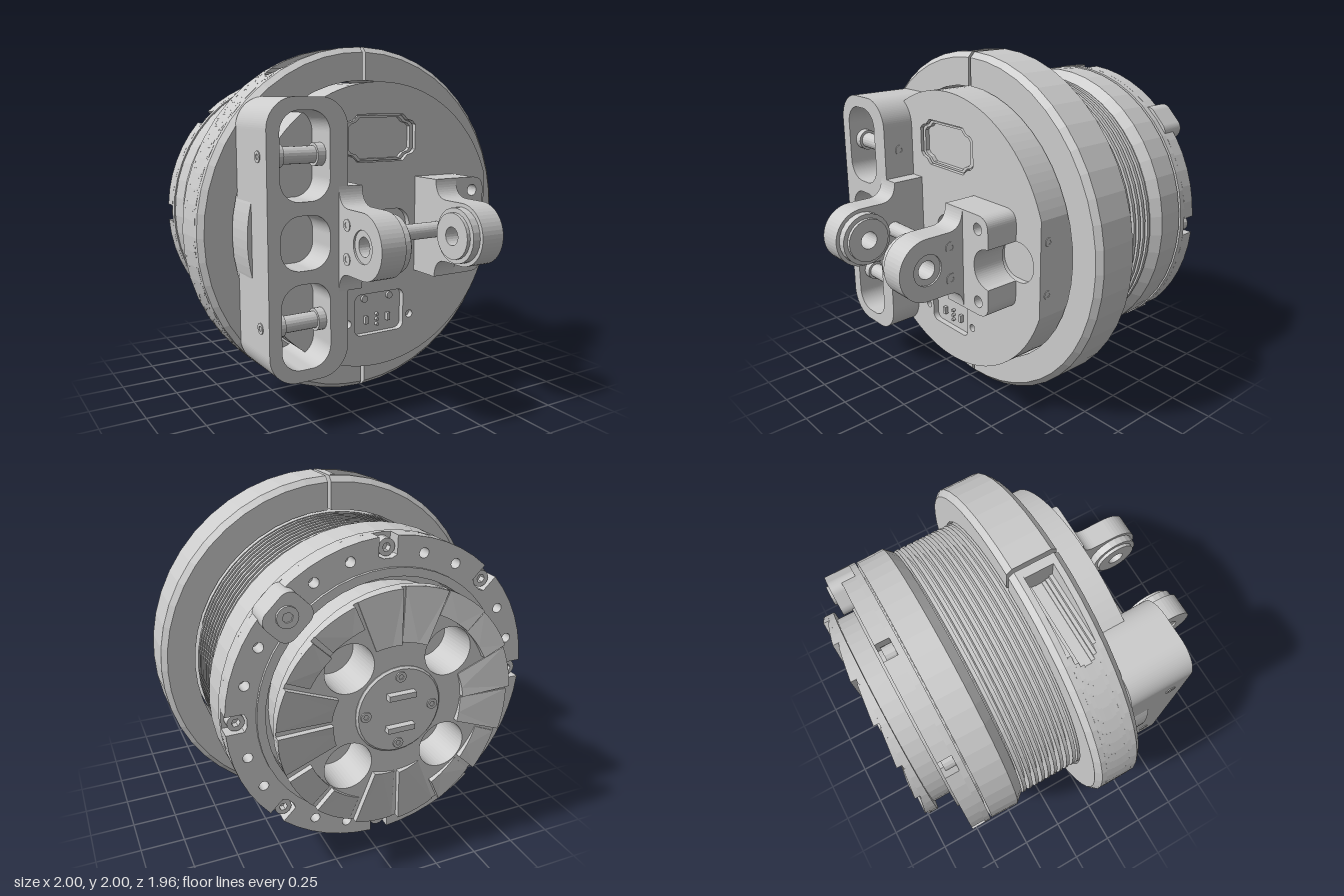
import * as THREE from 'three';

const mat = new THREE.MeshStandardMaterial({ color: 0xcccccc, flatShading: true });
const PI = Math.PI;
const V = (x, y) => new THREE.Vector2(x, y);

// --- helpers -------------------------------------------------------------
function add(parent, name, geometry) {
  const m = new THREE.Mesh(geometry, mat);
  m.name = name;
  parent.add(m);
  return m;
}
// Extrude a shape from z0 to z1
function slab(shape, z0, z1, steps = 1, curveSegments = 12) {
  const g = new THREE.ExtrudeGeometry(shape, { depth: z1 - z0, steps, curveSegments, bevelEnabled: false });
  return g.translate(0, 0, z0);
}
// Turned part around z; profile is [radius, z] with rising z
function turned(profile, seg = 48) {
  return new THREE.LatheGeometry(profile.map(p => V(p[0], p[1])), seg).rotateX(PI / 2);
}
function circle(x, y, r, T = THREE.Shape) {
  const s = new T();
  s.absarc(x, y, r, 0, PI * 2, false);
  return s;
}
function roundRect(x0, x1, y0, y1, r, T = THREE.Shape) {
  const s = new T();
  s.absarc(x1 - r, y1 - r, r, 0, PI / 2, false);
  s.absarc(x0 + r, y1 - r, r, PI / 2, PI, false);
  s.absarc(x0 + r, y0 + r, r, PI, PI * 1.5, false);
  s.absarc(x1 - r, y0 + r, r, PI * 1.5, PI * 2, false);
  s.closePath();
  return s;
}
// Socket screw head pointing along +z
function screw(parent, r, h) {
  const g = new THREE.Group();
  g.name = 'screw';
  const s = circle(0, 0, r);
  const hex = Array.from({ length: 6 }, (_, i) => V(Math.cos(i * PI / 3) * r * 0.5, Math.sin(i * PI / 3) * r * 0.5));
  s.holes.push(new THREE.Path(hex));
  add(g, 'screwHead', slab(s, 0, h, 1, 8));
  add(g, 'screwSocketFloor', slab(circle(0, 0, r * 0.9), 0, h * 0.4, 1, 8));
  parent.add(g);
  return g;
}

// --- split clamp ring ----------------------------------------------------
function halfRing(side, floor) {
  const g = 0.01, R = 1, r = 0.815, pts = [];
  let a = Math.acos(g);
  if (floor) {
    pts.push(V(g, -R), V(0.06, -0.998), V(0.06, -floor));
    a = Math.asin(floor);
  }
  for (let i = 0; i <= 24; i++) {
    const t = -a + 2 * a * i / 24;
    pts.push(V(Math.cos(t) * R, Math.sin(t) * R));
  }
  if (floor) pts.push(V(0.06, floor), V(0.06, 0.998), V(g, R));
  const b = Math.acos(g / r);
  for (let i = 0; i <= 24; i++) {
    const t = b - 2 * b * i / 24;
    pts.push(V(Math.cos(t) * r, Math.sin(t) * r));
  }
  return new THREE.Shape(pts.map(p => V(p.x * side, p.y)));
}
function chamferRim(geo, zEnd) {
  const p = geo.attributes.position;
  for (let i = 0; i < p.count; i++) {
    const x = p.getX(i), y = p.getY(i);
    if (Math.hypot(x, y) > 0.95 && Math.abs(p.getZ(i) - zEnd) < 1e-4) p.setXY(i, x * 0.97, y * 0.97);
  }
  geo.computeVertexNormals();
  return geo;
}
function buildClampRing(root) {
  for (const s of [1, -1]) {
    add(root, 'clampRingBack', chamferRim(slab(halfRing(s), -0.06, 0, 2), -0.06));
    add(root, 'clampRingFront', chamferRim(slab(halfRing(s), 0.16, 0.22, 2), 0.22));
  }
  add(root, 'clampRingMiddle', slab(halfRing(1), 0, 0.16));
  // round bolt pockets, cut in slices
  for (let i = 0; i < 8; i++) {
    const d = -0.07 + i * 0.02;
    add(root, 'clampRingPocketSlice', slab(halfRing(-1, 0.92 - Math.sqrt(0.0064 - d * d)), d + 0.07, d + 0.09));
  }
}

// --- front body with recesses --------------------------------------------
function badge(k, T = THREE.Shape) {
  const q = [[0.235, 0.07], [0.215, 0.09], [0.18, 0.1], [0.15, 0.13]], r = [...q].reverse();
  const pts = [...q, ...r.map(p => [-p[0], p[1]]), ...q.map(p => [-p[0], -p[1]]), ...r.map(p => [p[0], -p[1]])];
  return new T(pts.map(p => V(p[0] * k, p[1] * k + 0.5)));
}
function bodyShape() {
  const s = new THREE.Shape(), a = Math.acos(0.76 / 0.805);
  s.absarc(0, 0, 0.805, a, PI * 2 - a, false);
  s.closePath();
  return s;
}
function buildBody(root) {
  add(root, 'frontBody', slab(bodyShape(), -0.07, 0.36, 1, 48));
  const plate = bodyShape();
  plate.holes.push(badge(1, THREE.Path), roundRect(-0.165, 0.165, -0.615, -0.375, 0.04, THREE.Path),
    roundRect(-0.1, 0.2, -0.1, 0.1, 0.095, THREE.Path), roundRect(0.45, 0.71, -0.11, 0.11, 0.105, THREE.Path),
    circle(-0.21, -0.535, 0.022, THREE.Path), circle(0.21, -0.535, 0.022, THREE.Path));
  add(root, 'frontPlate', slab(plate, 0.36, 0.395, 1, 48));
  const rim = badge(0.95);
  rim.holes.push(badge(0.86, THREE.Path));
  add(root, 'badgeRim', slab(rim, 0.36, 0.385));
  add(root, 'slotPin', slab(circle(0, 0, 0.06), 0.36, 0.39));
  // electrical socket contacts
  for (const s of [-1, 1]) {
    add(root, 'socketBlade', new THREE.BoxGeometry(0.02, 0.045, 0.025).translate(s * 0.075, -0.535, 0.37));
    add(root, 'socketScrew', slab(circle(s * 0.085, -0.41, 0.02), 0.36, 0.375));
    const sc = screw(root, 0.025, 0.005);
    sc.rotation.y = PI / 2;
    sc.position.set(0.759, s * 0.145, 0.34);
  }
  for (const y of [-0.51, -0.54, -0.57]) add(root, 'socketPin', slab(circle(0, y, 0.009), 0.36, 0.38));
  // cooling fins and rear collar
  add(root, 'finCore', turned([[0, -0.66], [0.745, -0.66], [0.745, -0.05], [0, -0.05]]));
  for (let i = 0; i < 9; i++) {
    const z = -0.09 - i * 0.04;
    add(root, 'coolingFin', turned([[0.73, z - 0.01], [0.805, z - 0.01], [0.805, z + 0.01], [0.73, z + 0.01]]));
  }
  add(root, 'rearCollar', turned([[0, -0.645], [0.84, -0.645], [0.845, -0.48], [0.8, -0.43], [0.73, -0.43]]));
}

// --- grip with cross pins --------------------------------------------------
function buildGrip(root) {
  const s = roundRect(-0.78, -0.325, -0.725, 0.725, 0.16);
  for (const [a, b] of [[0.21, 0.66], [-0.14, 0.14], [-0.66, -0.21]])
    s.holes.push(roundRect(-0.71, -0.43, a, b, 0.11, THREE.Path));
  add(root, 'gripFrame', slab(s, 0.215, 0.585));
  for (const sy of [-1, 1]) {
    const y = sy * 0.435;
    const rod = (r, len, x) => add(root, 'gripPin', new THREE.CylinderGeometry(r, r, len, 20).rotateZ(PI / 2).translate(x, y, 0.485));
    rod(0.045, 0.29, -0.57);
    rod(0.06, 0.05, -0.69);
    rod(0.06, 0.05, -0.45);
    for (const side of [-1, 1]) {
      const sc = screw(root, 0.03, 0.006);
      sc.rotation.y = side * PI / 2;
      sc.position.set(side < 0 ? -0.779 : -0.326, y, 0.485);
    }
  }
}

// --- pivot lugs, bosses and shaft -------------------------------------------
function buildPivot(root) {
  const lug = new THREE.Shape();
  lug.moveTo(0.38, -0.275);
  lug.lineTo(0.585, -0.275);
  lug.quadraticCurveTo(0.59, -0.17, 0.68, -0.17);
  lug.absarc(0.81, 0, 0.17, -PI / 2, PI / 2, false);
  lug.lineTo(0.68, 0.17);
  lug.quadraticCurveTo(0.59, 0.17, 0.585, 0.275);
  lug.lineTo(0.38, 0.275);
  lug.holes.push(circle(0.81, 0, 0.085, THREE.Path));
  for (const s of [-1, 1]) {
    const ring = (name, r, hole, x0, x1) => {
      const c = circle(0.81, 0, r);
      c.holes.push(circle(0.81, 0, hole, THREE.Path));
      add(root, name, slab(c, -x1 * s, -x0 * s).rotateY(-PI / 2));
    };
    const [a, b] = s > 0 ? [0.24, 0.38] : [0.38, 0.24];
    add(root, 'pivotLug', slab(lug, -s * b, -s * a).rotateY(-PI / 2));
    const pair = (u, v) => (s > 0 ? [u, v] : [v, u]);
    ring('pivotBoss', 0.15, 0.05, ...pair(0.195, 0.245));
    ring('pivotBossLip', 0.125, 0.05, ...pair(0.175, 0.2));
    ring('pivotBushing', 0.087, 0.05, ...pair(0.24, 0.37));
    for (const y of [-0.088, 0.088]) {
      const sc = screw(root, 0.032, 0.005);
      sc.rotation.y = s * PI / 2;
      sc.position.set(s * 0.379, y, 0.665);
    }
  }
  add(root, 'crossShaft', new THREE.CylinderGeometry(0.044, 0.044, 0.5, 24).rotateZ(PI / 2).translate(0, 0, 0.603));
  // bolted foot of the left lug
  const f = new THREE.Shape();
  f.moveTo(0.36, -0.275);
  f.lineTo(0.5, -0.275);
  f.quadraticCurveTo(0.58, -0.275, 0.58, -0.2);
  f.lineTo(0.58, -0.11);
  f.lineTo(0.55, -0.105);
  f.quadraticCurveTo(0.47, -0.08, 0.47, 0);
  f.quadraticCurveTo(0.47, 0.08, 0.55, 0.105);
  f.lineTo(0.58, 0.11);
  f.lineTo(0.58, 0.2);
  f.quadraticCurveTo(0.58, 0.275, 0.5, 0.275);
  f.lineTo(0.36, 0.275);
  for (const y of [-0.2, 0.2]) {
    f.holes.push(circle(0.5, y, 0.032, THREE.Path));
    const sc = screw(root, 0.032, 0.006);
    sc.position.set(0.31, y, 0.584);
  }
  add(root, 'lugFoot', slab(f, 0.39, 0.585));
}

// --- rear flange with notches and screws -------------------------------------
function buildRearFlange(root) {
  const R = 0.845, w = Math.asin(0.05 / R), pts = [], polar = (r, t) => V(r * Math.cos(t), r * Math.sin(t));
  add(root, 'rearFlangeBase', turned([[0, -0.69], [R, -0.69], [R, -0.655], [0, -0.655]]));
  for (let k = 0; k < 8; k++) {
    const t = k * PI / 4;
    pts.push(polar(R, t - w), polar(0.75, t - 0.066), polar(0.735, t - 0.03), polar(0.735, t + 0.03), polar(0.75, t + 0.066));
    for (let i = 0; i <= 5; i++) pts.push(polar(R, t + w + (PI / 4 - 2 * w) * i / 6));
    if (k === 1) continue;
    const sc = screw(root, 0.045, 0.06), c = polar(0.785, t);
    sc.rotation.y = PI;
    sc.position.set(c.x, c.y, -0.69);
  }
  const s = new THREE.Shape(pts);
  s.holes.push(circle(0, 0, 0.645, THREE.Path));
  for (let k = 0; k < 24; k++) if (k % 3) {
    const c = polar(0.765, k * PI / 12);
    s.holes.push(circle(c.x, c.y, 0.026, THREE.Path));
  }
  add(root, 'rearFlange', slab(s, -0.77, -0.69, 1, 24));
  add(root, 'rearLip', turned([[0.64, -0.69], [0.645, -0.785], [0.69, -0.785], [0.69, -0.76]]));
  const stop = new THREE.Group();
  stop.name = 'stopLug';
  stop.rotation.z = PI / 4;
  add(stop, 'stopBlock', slab(roundRect(0.66, 0.86, -0.11, 0.11, 0.06), -0.84, -0.69));
  const sc = screw(stop, 0.055, 0.015);
  sc.rotation.y = PI;
  sc.position.set(0.77, 0, -0.84);
  root.add(stop);
}

// --- toothed coupling hub ------------------------------------------------------
function buildHub(root) {
  const disc = r => {
    const s = circle(0, 0, r);
    for (let k = 0; k < 4; k++) {
      const t = (k + 0.5) * PI / 2;
      s.holes.push(circle(Math.cos(t) * 0.38, Math.sin(t) * 0.38, 0.13, THREE.Path));
    }
    return s;
  };
  add(root, 'hubNeck', slab(disc(0.6), -0.89, -0.68, 1, 24));
  add(root, 'hubFlange', slab(disc(0.645), -0.93, -0.89, 1, 24));
  // ramped face teeth
  for (let k = 0; k < 16; k++) {
    const t0 = k * PI / 8 + 0.02, t1 = (k + 1) * PI / 8 - 0.02;
    const r = k % 4 === 1 || k % 4 === 2 ? 0.515 : 0.36;
    const s = new THREE.Shape();
    s.absarc(0, 0, 0.645, t0, t1, false);
    s.absarc(0, 0, r, t1, t0, true);
    s.closePath();
    const g = slab(s, -0.955, -0.925, 1, 4), p = g.attributes.position;
    for (let i = 0; i < p.count; i++) if (p.getZ(i) < -0.94) {
      const a = (Math.atan2(p.getY(i), p.getX(i)) + PI * 2) % (PI * 2);
      p.setZ(i, -0.935 - 0.025 * (a - t0) / (t1 - t0));
    }
    g.computeVertexNormals();
    add(root, 'hubTooth', g);
  }
  // centre cap with blades and screws
  add(root, 'hubCap', turned([[0, -0.945], [0.225, -0.945], [0.235, -0.935], [0.235, -0.85]], 32));
  for (const y of [-0.09, 0.09])
    add(root, 'hubBlade', new THREE.BoxGeometry(0.15, 0.03, 0.05).translate(0, y, -0.955));
  for (let k = 0; k < 4; k++) {
    const sc = screw(root, 0.028, 0.008), t = k * PI / 2;
    sc.rotation.y = PI;
    sc.position.set(Math.cos(t) * 0.185, Math.sin(t) * 0.185, -0.944);
  }
}

export function createModel() {
  const model = new THREE.Group();
  model.name = 'toolCoupling';
  const root = new THREE.Group();
  root.name = 'assembly';
  root.position.y = 1;
  model.add(root);
  [buildClampRing, buildBody, buildGrip, buildPivot, buildRearFlange, buildHub].forEach(f => f(root));
  return model;
}
